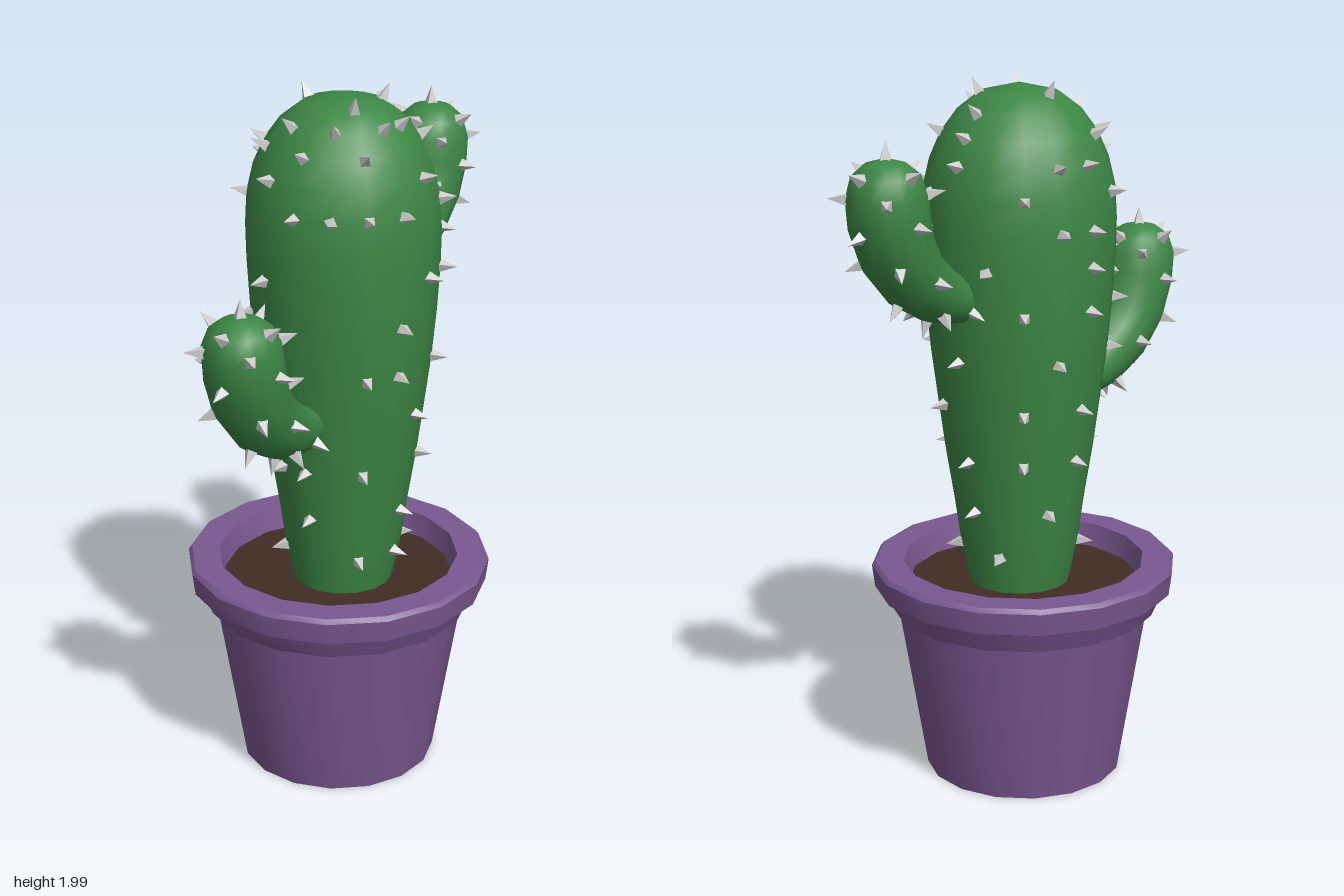
import * as THREE from 'three';
import { mergeGeometries, toCreasedNormals } from 'three/addons/utils/BufferGeometryUtils.js';

const SIDES = 16;
const material = (color, extra = {}) => new THREE.MeshStandardMaterial({ color, ...extra });

function addMesh(parent, name, geometry, mat) {
  const mesh = new THREE.Mesh(geometry, mat);
  mesh.name = name;
  parent.add(mesh);
  return mesh;
}

// Rounded stem: rings [z, y, radius] lying square to the path, closed by an apex [z, y]
function stemGeometry(rings, apex) {
  const centres = [...rings, apex].map(([z, y]) => new THREE.Vector3(0, y, z));
  const positions = [];
  const index = [];
  rings.forEach(([z, y, r], i) => {
    const t = centres[i + 1].clone().sub(centres[Math.max(i - 1, 0)]).normalize();
    for (let k = 0; k < SIDES; k++) {
      const a = (k / SIDES) * Math.PI * 2;
      const s = r * Math.cos(a);
      positions.push(r * Math.sin(a), y - t.z * s, z + t.y * s);
      const next = (k + 1) % SIDES;
      const p = i * SIDES + k;
      const q = i * SIDES + next;
      if (i < rings.length - 1) index.push(p, q, q + SIDES, p, q + SIDES, p + SIDES);
      else index.push(p, q, rings.length * SIDES);
    }
  });
  positions.push(0, apex[1], apex[0]);
  const geometry = new THREE.BufferGeometry();
  geometry.setAttribute('position', new THREE.Float32BufferAttribute(positions, 3));
  geometry.setIndex(index);
  geometry.computeVertexNormals();
  return geometry;
}

// Four-sided spines standing on chosen stem vertices: { ring: [positions around it] }
function spineGeometry(stem, layout, tip = false) {
  const { position, normal } = stem.attributes;
  const ids = Object.entries(layout).flatMap(([ring, ks]) =>
    ks.map((k) => Number(ring) * SIDES + ((k + SIDES) % SIDES)));
  if (tip) ids.push(position.count - 1);
  const up = new THREE.Vector3(0, 1, 0);
  return mergeGeometries(ids.map((id) => {
    const p = new THREE.Vector3().fromBufferAttribute(position, id);
    const n = new THREE.Vector3().fromBufferAttribute(normal, id);
    return new THREE.ConeGeometry(0.021, 0.054, 4)
      .translate(0, 0.018, 0)
      .applyQuaternion(new THREE.Quaternion().setFromUnitVectors(up, n))
      .translate(p.x, p.y, p.z);
  }));
}

const lathe = (points) =>
  new THREE.LatheGeometry(points.map(([r, y]) => new THREE.Vector2(r, y)), SIDES);

export function createModel() {
  const model = new THREE.Group();
  model.name = 'pottedCactus';
  const green = material(0x3d8746);
  const grey = material(0xcccccc, { flatShading: true });

  // Pot with a stepped rim, filled with soil
  const pot = new THREE.Group();
  pot.name = 'pot';
  pot.position.z = -0.028;
  pot.rotation.y = 0.05;
  model.add(pot);
  addMesh(pot, 'potShell', toCreasedNormals(lathe([
    [0, 0], [0.28, 0], [0.358, 0.483], [0.375, 0.483], [0.4, 0.54], [0.424, 0.55],
    [0.432, 0.613], [0.422, 0.625], [0.342, 0.625], [0.325, 0.55],
  ]), 0.6), material(0x7a5890));
  addMesh(pot, 'soil', lathe([[0.333, 0.56], [0, 0.56]]), material(0x3f2c25));

  // Cactus: trunk and two upturned arms
  const cactus = new THREE.Group();
  cactus.name = 'cactus';
  cactus.position.x = 0.014;
  model.add(cactus);

  const trunkProfile = [
    [0.138, 0.54], [0.165, 0.67], [0.183, 0.8], [0.207, 0.95], [0.227, 1.1],
    [0.245, 1.24], [0.258, 1.38], [0.265, 1.5], [0.267, 1.6], [0.262, 1.69],
    [0.243, 1.77], [0.212, 1.84], [0.168, 1.9], [0.108, 1.945],
  ];
  const frontArmSpines = {
    1: [-3, 3], 2: [-2, 0, 2], 3: [-4, 0, 4], 4: [-2, 2, 6],
    5: [-4, 0, 4, 8], 6: [-2, 2, 6, -6], 7: [-4, 0, 4, 8],
  };
  // The back arm bends the other way, so its spines run round in reverse
  const backArmSpines = Object.fromEntries(
    Object.entries(frontArmSpines).map(([ring, ks]) => [ring, ks.map((k) => 8 - k)]));

  const stems = [
    {
      name: 'trunk',
      rings: trunkProfile.map(([r, y]) => [-0.03, y, r]),
      apex: [-0.03, 1.97],
      spines: {
        1: [-2, 2, 4, 6, 9], 2: [0, 4, 8, 11], 3: [-4, -1, 0, 2, 5, 8, 10],
        4: [-4, 4, 7, 10], 5: [-2, -1, 2, 3, 5, 8, 11], 6: [-4, -2, 3, 8, 10],
        7: [-4, -1, 4, 5, 9], 8: [-4, 7, 11], 9: [0, 1, 2, 3, 5, 7, 10, 13],
        10: [-4, -1, 4, 8, 11], 11: [-3, -2, 0, 2, 6, 8], 12: [-1, 1, 3, 4, 8],
        13: [-4, 2, 6],
      },
    },
    {
      name: 'frontArm',
      rings: [
        [0.15, 1.095, 0.06], [0.22, 1.1, 0.068], [0.3, 1.13, 0.084], [0.39, 1.19, 0.096],
        [0.45, 1.27, 0.105], [0.48, 1.36, 0.108], [0.491, 1.43, 0.105],
        [0.493, 1.475, 0.085], [0.493, 1.5, 0.05],
      ],
      apex: [0.493, 1.512],
      spines: frontArmSpines,
      tip: true,
    },
    {
      name: 'backArm',
      rings: [
        [-0.2, 1.4, 0.05], [-0.27, 1.41, 0.06], [-0.36, 1.445, 0.08], [-0.44, 1.5, 0.092],
        [-0.5, 1.58, 0.103], [-0.527, 1.66, 0.108], [-0.535, 1.73, 0.107],
        [-0.537, 1.785, 0.09], [-0.537, 1.815, 0.055],
      ],
      apex: [-0.537, 1.83],
      spines: backArmSpines,
      tip: true,
    },
  ];
  for (const { name, rings, apex, spines, tip } of stems) {
    const stem = stemGeometry(rings, apex);
    addMesh(cactus, name, stem, green);
    addMesh(cactus, `${name}Spines`, spineGeometry(stem, spines, tip), grey);
  }
  return model;
}
